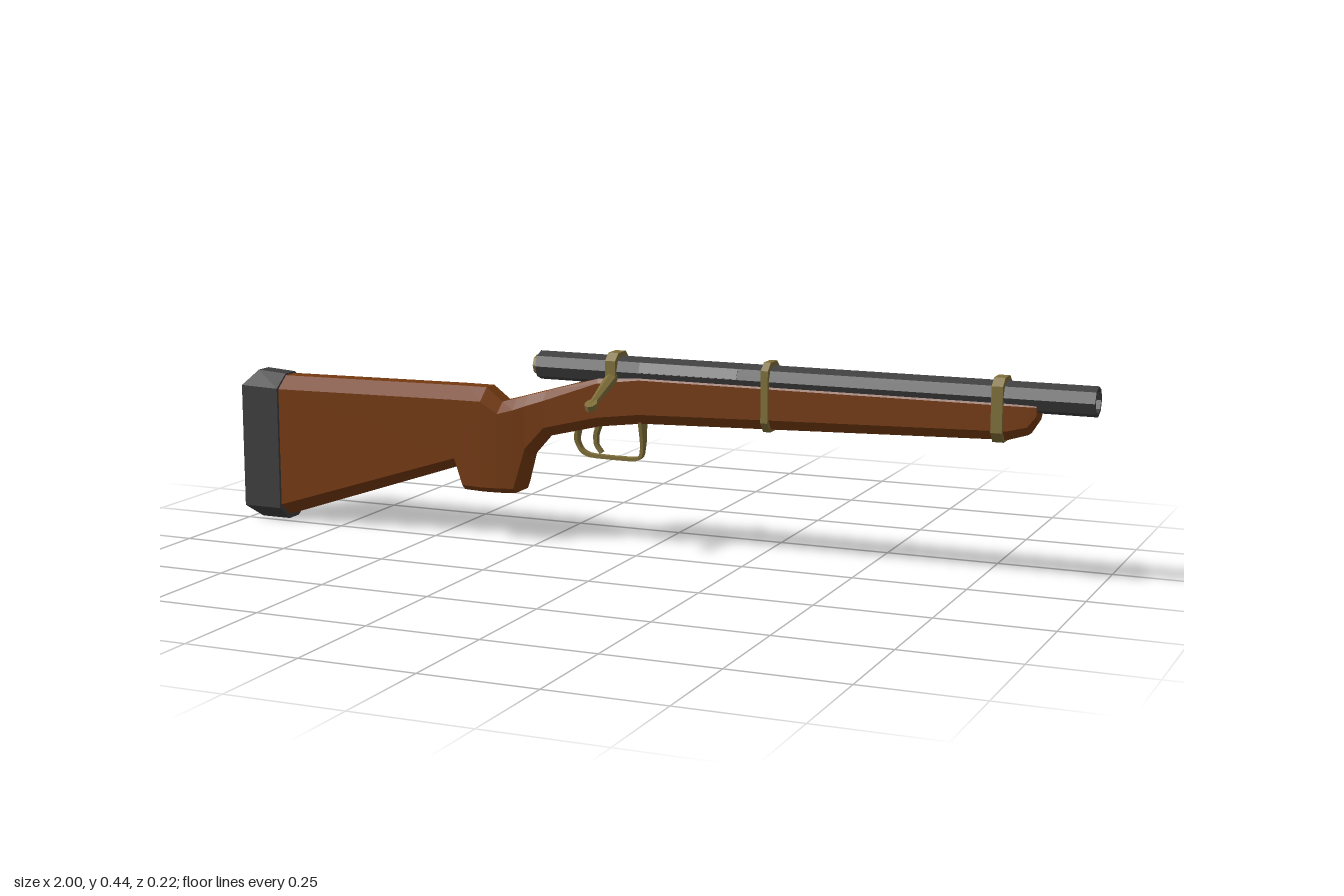
import * as THREE from 'three';

const Z = -0.046;        // centre plane of the body
const BARREL_Y = 0.409;  // barrel axis height

const mat = (name, color) => {
  const m = new THREE.MeshStandardMaterial({ color });
  m.name = name;
  return m;
};

// Split shared vertices so every facet has its own normal
function faceted(geo) {
  const g = geo.index ? geo.toNonIndexed() : geo;
  g.computeVertexNormals();
  return g;
}

// Loft of eight-sided sections along x.
// Station: [x, top, bottom, halfWidth, topFlat, topChamfer, bottomFlat, bottomChamfer, flatShift]
// flatShift moves the top and bottom edges along x.
function loft(stations) {
  const pos = [], index = [], n = stations.length;
  for (const [x, t, b, w, tf, tc, bf, bc, shift = 0] of stations) {
    const xs = x + shift;
    pos.push(
      xs, t, Z - w * tf, xs, t, Z + w * tf, x, t - tc, Z + w, x, b + bc, Z + w,
      xs, b, Z + w * bf, xs, b, Z - w * bf, x, b + bc, Z - w, x, t - tc, Z - w);
  }
  for (let s = 0; s < n - 1; s++) {
    for (let i = 0; i < 8; i++) {
      const a = s * 8 + i, c = s * 8 + (i + 1) % 8;
      index.push(a, c, c + 8, a, c + 8, a + 8);
    }
  }
  // End caps, as three strips each
  const e = (n - 1) * 8;
  for (const [p, q, r, s] of [[7, 0, 1, 2], [6, 7, 2, 3], [5, 6, 3, 4]]) {
    index.push(e + p, e + q, e + r, e + p, e + r, e + s);
    index.push(p, r, q, p, s, r);
  }
  const g = new THREE.BufferGeometry();
  g.setAttribute('position', new THREE.Float32BufferAttribute(pos, 3));
  g.setIndex(index);
  return faceted(g);
}

// Flat strip of constant thickness following a path in the xy plane
function strip(points, thickness, depth) {
  const path = new THREE.CatmullRomCurve3(
    points.map(([x, y]) => new THREE.Vector3(x, y, 0)), false, 'catmullrom', 0.3);
  const outer = [], inner = [], N = 20;
  for (let i = 0; i <= N; i++) {
    const p = path.getPoint(i / N), d = path.getTangent(i / N);
    const nx = -d.y * thickness / 2, ny = d.x * thickness / 2;
    outer.push(new THREE.Vector2(p.x + nx, p.y + ny));
    inner.unshift(new THREE.Vector2(p.x - nx, p.y - ny));
  }
  const g = new THREE.ExtrudeGeometry(new THREE.Shape([...outer, ...inner]), { depth, bevelEnabled: false });
  g.translate(0, 0, -depth / 2);
  // Flare the strip where it meets the stock
  const p = g.attributes.position;
  for (let i = 0; i < p.count; i++) {
    const flare = 1 + Math.max(0, p.getY(i) - 0.235) * 22;
    p.setZ(i, p.getZ(i) * flare + Z);
  }
  return faceted(g);
}

export function createModel() {
  const wood = mat('wood', 0x74390f);
  const steel = mat('darkSteel', 0x3e3e3f);
  const light = mat('lightSteel', 0x686868);
  const brass = mat('brass', 0x7e6e39);

  const model = new THREE.Group();
  const add = (name, geo, material) => {
    const m = new THREE.Mesh(geo, material);
    m.name = name;
    model.add(m);
    return m;
  };

  // Stock: butt, grip, neck and fore-end
  add('stock', loft([
    [-0.91, 0.346, 0.012, 0.054, 0.36, 0.028, 0.36, 0.03],
    [-0.445, 0.352, 0.168, 0.054, 0.36, 0.028, 0.4, 0.022],
    [-0.425, 0.352, 0.118, 0.054, 0.36, 0.028, 0.75, 0.012],
    [-0.378, 0.352, 0.116, 0.053, 0.36, 0.028, 0.75, 0.012],
    [-0.338, 0.322, 0.116, 0.049, 0.4, 0.024, 0.75, 0.012],
    [-0.302, 0.332, 0.117, 0.043, 0.45, 0.024, 0.75, 0.012],
    [-0.275, 0.34, 0.2, 0.038, 0.5, 0.022, 0.5, 0.022],
    [-0.23, 0.353, 0.25, 0.034, 0.5, 0.02, 0.5, 0.022],
    [-0.1, 0.39, 0.282, 0.031, 0.8, 0.01, 0.5, 0.022],
    [0, 0.397, 0.295, 0.031, 0.9, 0.004, 0.5, 0.022],
    [0.3, 0.397, 0.304, 0.031, 0.9, 0.004, 0.5, 0.022],
    [0.82, 0.397, 0.32, 0.03, 0.9, 0.004, 0.5, 0.02],
    [0.862, 0.397, 0.333, 0.029, 0.9, 0.004, 0.5, 0.018],
    [0.88, 0.397, 0.362, 0.028, 0.9, 0.004, 0.6, 0.012],
  ]), wood);

  // Butt pad with corners swept back
  add('buttPad', loft([
    [-1, 0.355, 0.004, 0.061, 0.34, 0.032, 0.34, 0.032, 0.022],
    [-0.905, 0.35, 0.004, 0.061, 0.34, 0.03, 0.34, 0.032],
  ]), steel);

  // Hollow octagonal barrel
  const ring = [[0.032, -0.25], [0.032, 1], [0.025, 1], [0.025, -0.25], [0.032, -0.25]];
  const barrel = new THREE.LatheGeometry(ring.map(([r, y]) => new THREE.Vector2(r, y)), 8);
  barrel.rotateZ(-Math.PI / 2).translate(0, BARREL_Y, Z);
  add('barrel', faceted(barrel), steel);

  // Bolt end closing the rear of the barrel
  const plug = new THREE.CylinderGeometry(0.0255, 0.022, 0.04, 8);
  plug.rotateZ(-Math.PI / 2).translate(-0.241, BARREL_Y, Z);
  add('boltEnd', faceted(plug), brass);

  // Ejection port plate on one facet
  const port = add('ejectionPort', new THREE.BoxGeometry(0.228, 0.023, 0.003), light);
  const a = Math.PI / 8, apothem = 0.032 * Math.cos(a);
  port.rotation.x = -a;
  port.position.set(0.114, BARREL_Y + apothem * Math.sin(a), Z + apothem * Math.cos(a));

  // Bands: [name, x, width, bottom]
  for (const [name, x, w, bottom] of [
    ['boltCollar', -0.065, 0.024, 0.37],
    ['middleBand', 0.294, 0.016, 0.298],
    ['frontBand', 0.8, 0.024, 0.314],
  ]) {
    const section = [0.449, bottom, 0.038, 0.52, 0.016, 0.5, 0.022];
    add(name, loft([[x - w / 2, ...section], [x + w / 2, ...section]]), brass);
  }

  // Bolt handle with flat knob
  const handle = new THREE.Group();
  handle.name = 'boltHandle';
  const from = new THREE.Vector3(-0.065, 0.395, -0.02), to = new THREE.Vector3(-0.065, 0.346, 0.1);
  const length = from.distanceTo(to);
  handle.position.copy(from);
  handle.quaternion.setFromUnitVectors(new THREE.Vector3(0, 1, 0), to.clone().sub(from).normalize());
  const rod = new THREE.CylinderGeometry(0.007, 0.015, length, 6).translate(0, length / 2, 0);
  const rodMesh = new THREE.Mesh(faceted(rod), brass);
  rodMesh.name = 'handleRod';
  const knob = new THREE.CylinderGeometry(0.014, 0.014, 0.013, 8).rotateX(Math.PI / 2).scale(1, 1.25, 1);
  const knobMesh = new THREE.Mesh(faceted(knob), brass);
  knobMesh.name = 'handleKnob';
  knobMesh.position.y = length - 0.01;
  handle.add(rodMesh, knobMesh);
  model.add(handle);

  // Trigger guard and trigger
  add('triggerGuard', strip([
    [-0.158, 0.275], [-0.162, 0.245], [-0.15, 0.222], [-0.125, 0.212],
    [-0.025, 0.211], [-0.006, 0.22], [-0.002, 0.25], [-0.004, 0.3],
  ], 0.008, 0.015), brass);
  add('trigger', strip([[-0.105, 0.29], [-0.115, 0.262], [-0.115, 0.238], [-0.102, 0.22]], 0.009, 0.01), brass);

  return model;
}
